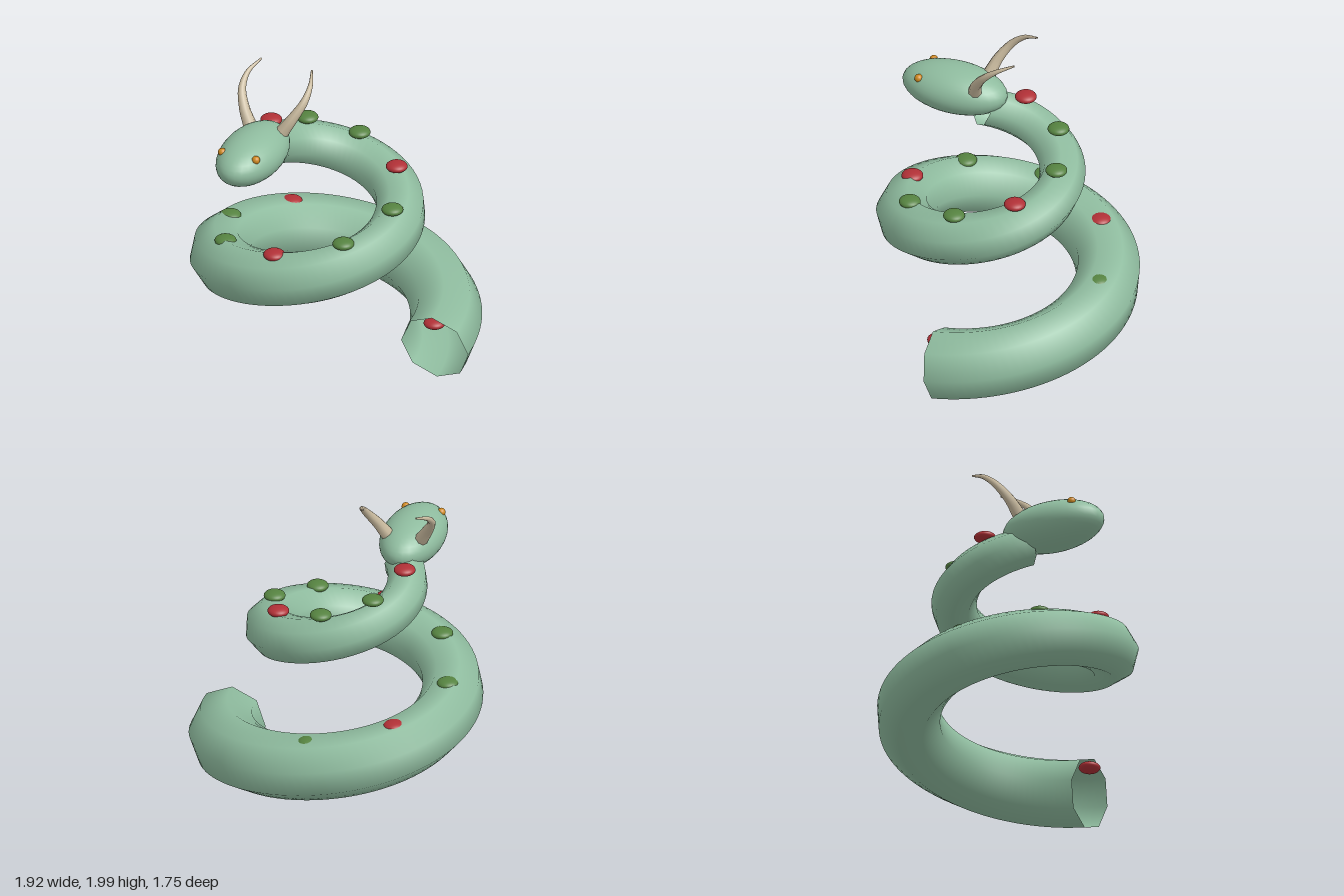
import * as THREE from 'three';

const mat = (name, color, side = THREE.FrontSide) => {
  const m = new THREE.MeshStandardMaterial({ color, side });
  m.name = name;
  return m;
};

const STEPS = 13; // spots along the body, one per step

// Rising spiral that winds inward
class Coil extends THREE.Curve {
  getPoint(t, target = new THREE.Vector3()) {
    const i = t * STEPS;
    const a = THREE.MathUtils.degToRad(-2.2 + 44.6 * i);
    const r = 0.82 - 0.0362 * i;
    return target.set(-0.0875 + r * Math.cos(a), 0.243 + 0.097 * i, 0.067 - r * Math.sin(a));
  }
}

// Tube whose rings shrink from r0 to r1 along the curve
function taperedTube(curve, segments, sides, r0, r1) {
  const geo = new THREE.TubeGeometry(curve, segments, 1, sides);
  const pos = geo.attributes.position;
  const v = new THREE.Vector3();
  for (let j = 0; j <= segments; j++) {
    const centre = curve.getPointAt(j / segments);
    const radius = THREE.MathUtils.lerp(r0, r1, curve.getUtoTmapping(j / segments));
    for (let k = 0; k <= sides; k++) {
      const n = j * (sides + 1) + k;
      v.fromBufferAttribute(pos, n).sub(centre).multiplyScalar(radius).add(centre);
      pos.setXYZ(n, v.x, v.y, v.z);
    }
  }
  return geo;
}

export function createModel() {
  const group = new THREE.Group();
  const skin = mat('sage skin', 0x8fbc9f, THREE.DoubleSide);
  const green = mat('green spot', 0x558240);
  const red = mat('red spot', 0xb03036);
  const horn = mat('bone horn', 0xcabb9f, THREE.DoubleSide);
  const amber = mat('amber eye', 0xd08a20);

  const add = (name, geo, material) => {
    const mesh = new THREE.Mesh(geo, material);
    mesh.name = name;
    group.add(mesh);
    return mesh;
  };
  const ball = new THREE.SphereGeometry(1, 32, 20);
  const ellipsoid = (name, material, p, s) => {
    const mesh = add(name, ball, material);
    mesh.position.set(...p);
    mesh.scale.set(...s);
  };

  // Hollow coiled body with eight sides
  const coil = new Coil();
  add('body', taperedTube(coil, 120, 8, 0.236, 0.127), skin);

  // Flattened spots along the back, every third one red
  for (let i = 0; i < STEPS; i++) {
    const p = coil.getPoint(i / STEPS);
    ellipsoid('spot' + (i + 1), i % 3 ? green : red, [p.x, p.y + 0.18, p.z], [0.07, 0.033, 0.07]);
  }

  // Head
  const headX = -0.38;
  ellipsoid('head', skin, [headX, 1.592, 0.477], [0.201, 0.157, 0.359]);

  // Eyes and horns, mirrored about the head
  for (const [side, s] of [['left', 1], ['right', -1]]) {
    ellipsoid(side + 'Eye', amber, [headX + s * 0.12, 1.677, 0.68], [0.027, 0.027, 0.027]);
    const path = new THREE.CatmullRomCurve3([
      [0.115, 1.68, 0.285], [0.17, 1.77, 0.25], [0.22, 1.87, 0.18],
      [0.222, 1.945, 0.09], [0.18, 1.996, -0.02],
    ].map(([x, y, z]) => new THREE.Vector3(headX + s * x, y, z)));
    add(side + 'Horn', taperedTube(path, 28, 8, 0.045, 0.006), horn);
  }
  return group;
}
